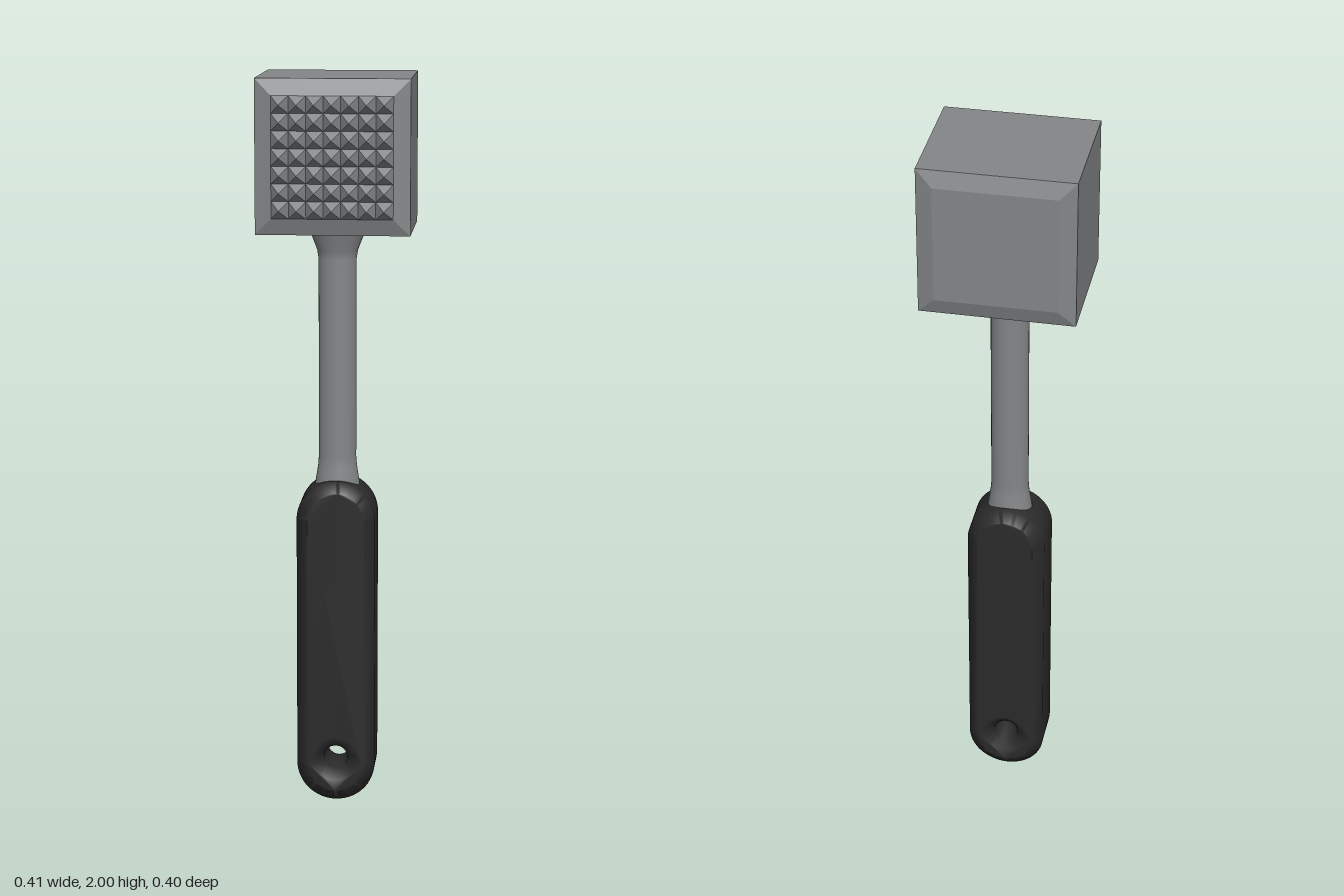
import * as THREE from 'three';
import { mergeGeometries, mergeVertices } from 'three/addons/utils/BufferGeometryUtils.js';

const steel = new THREE.MeshStandardMaterial({ color: 0x848688 });
steel.name = 'steel grey';
const rubber = new THREE.MeshStandardMaterial({ color: 0x2b2b2b });
rubber.name = 'black rubber';

const HEAD_Y = 1.797;   // centre height of the head
const AXIS_Z = -0.01;   // shaft and handle axis

const vectors = (list) => list.map(([x, y]) => new THREE.Vector2(x, y));

function addPart(group, name, geometry, material) {
  const mesh = new THREE.Mesh(geometry, material);
  mesh.name = name;
  group.add(mesh);
  return mesh;
}

// Square block with both striking faces chamfered
function headGeometry() {
  const k = Math.SQRT2; // half side to corner radius
  const profile = vectors([
    [0, -0.199], [0.16 * k, -0.199], [0.204 * k, -0.185],
    [0.204 * k, 0.153], [0.16 * k, 0.167], [0, 0.167],
  ]);
  const block = new THREE.LatheGeometry(profile, 4, Math.PI / 4).toNonIndexed();
  block.computeVertexNormals();
  return block.rotateX(Math.PI / 2);
}

// Grid of small pyramids on the front face
function spikesGeometry() {
  const count = 7, pitch = 0.0457, height = 0.03;
  const spikes = [];
  for (let row = 0; row < count; row++) {
    for (let col = 0; col < count; col++) {
      const spike = new THREE.ConeGeometry((pitch / 2) * Math.SQRT2, height, 4, 1, true).toNonIndexed();
      spike.rotateY(Math.PI / 4).rotateX(Math.PI / 2);
      spike.translate((col - 3) * pitch, (row - 3) * pitch, 0.167 + height / 2);
      spikes.push(spike);
    }
  }
  const merged = mergeGeometries(spikes);
  merged.computeVertexNormals();
  return merged;
}

// Rounded grip with a bevelled hanging hole
function handleGeometry() {
  const bevel = 0.03, depth = 0.16, thickness = 0.022;
  const radius = 0.107 - bevel, low = 0.113, high = 0.803;
  const outline = new THREE.Shape();
  outline.absarc(0, low, radius, Math.PI, Math.PI * 2, false);
  outline.absarc(0, high, radius, 0, Math.PI, false);
  outline.closePath();
  const hole = new THREE.Path();
  hole.absarc(0, 0.129, 0.037 + 0.025, 0, Math.PI * 2, true);
  outline.holes.push(hole);
  const grip = new THREE.ExtrudeGeometry(outline, {
    depth: depth - 2 * thickness, bevelEnabled: true, bevelSegments: 1,
    bevelSize: bevel, bevelThickness: thickness, curveSegments: 16,
  });
  grip.translate(0, 0, AXIS_Z - depth / 2 + thickness);
  // Weld the corners so the shading runs smoothly round the grip
  grip.deleteAttribute('normal');
  grip.deleteAttribute('uv');
  const smooth = mergeVertices(grip, 1e-4);
  smooth.computeVertexNormals();
  return smooth;
}

export function createModel() {
  const model = new THREE.Group();
  model.name = 'meatMallet';

  addPart(model, 'head', headGeometry(), steel).position.y = HEAD_Y;
  addPart(model, 'spikes', spikesGeometry(), steel).position.y = HEAD_Y;

  // Slightly oval rod, flared at both ends
  const rod = vectors([
    [0.064, 0.85], [0.06, 0.9], [0.053, 0.945], [0.051, 0.97],
    [0.051, 1.51], [0.055, 1.535], [0.08, 1.6],
  ]);
  const shaft = addPart(model, 'shaft', new THREE.LatheGeometry(rod, 32), steel);
  shaft.scale.z = 0.83;
  shaft.position.z = AXIS_Z;

  addPart(model, 'handle', handleGeometry(), rubber);
  return model;
}
